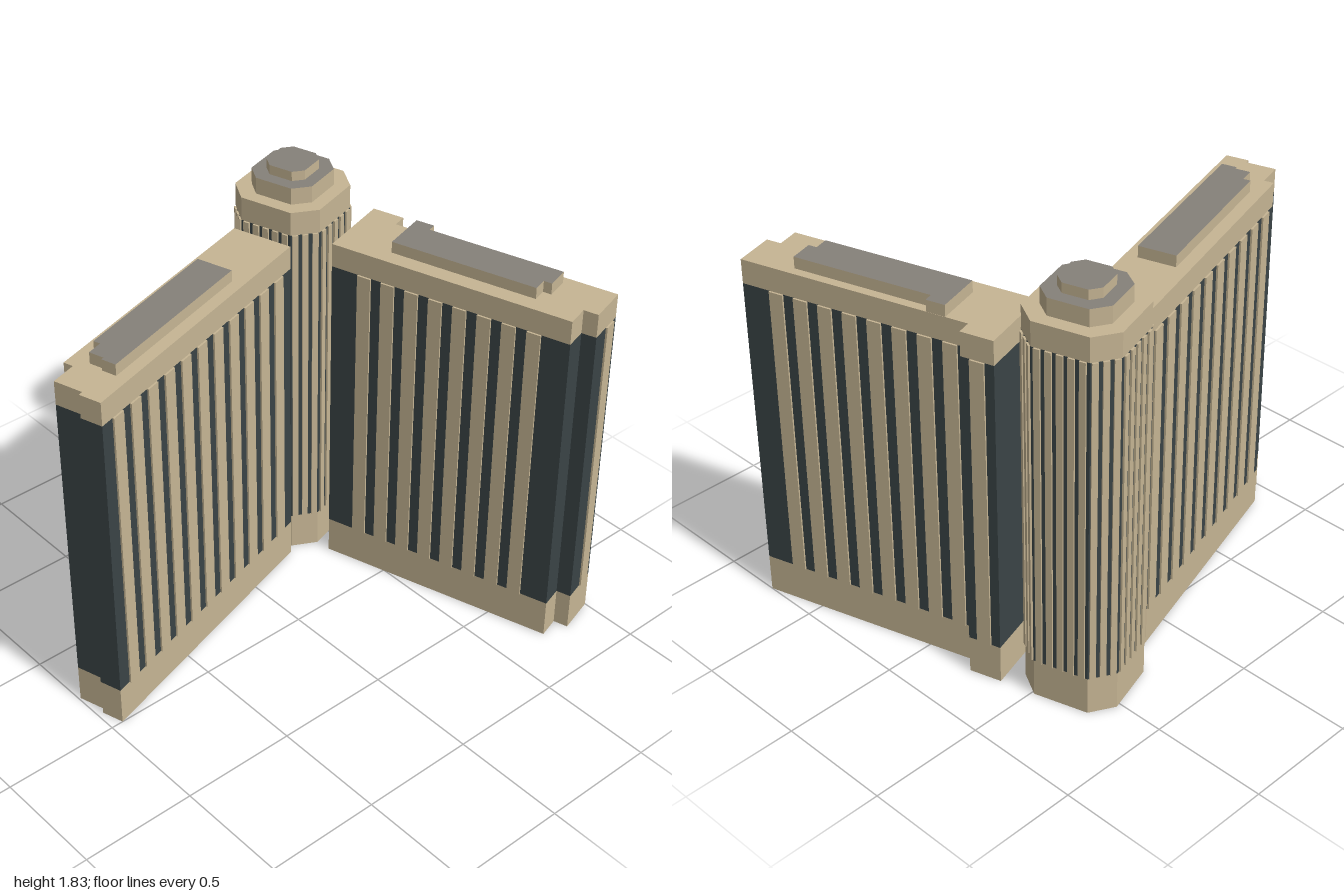
import * as THREE from 'three';

const mat = (name, color) => {
  const m = new THREE.MeshStandardMaterial({ color });
  m.name = name;
  return m;
};

export function createModel() {
  const stone = mat('sandstone', 0xc6b594);
  const glass = mat('darkGlass', 0x3a4446);
  const grey = mat('roofGrey', 0x86817a);

  const model = new THREE.Group();
  model.name = 'towerBlock';
  model.rotation.y = 0.29; // the wings stand at a slight angle

  // Upright prism over a plan outline of [x, z] points
  const slab = (parent, name, plan, y0, y1, material) => {
    const shape = new THREE.Shape(plan.map(([x, z]) => new THREE.Vector2(x, z)));
    const geo = new THREE.ExtrudeGeometry(shape, { depth: y1 - y0, bevelEnabled: false });
    geo.rotateX(Math.PI / 2).translate(0, y1, 0);
    const mesh = new THREE.Mesh(geo, material);
    mesh.name = name;
    parent.add(mesh);
  };

  // Row of upright piers standing slightly proud of one wall of the plan
  const piers = (parent, plan, edge, count, pitch, width, y0, y1, shift = 0) => {
    const [ax, az] = plan[edge];
    const [bx, bz] = plan[(edge + 1) % plan.length];
    const len = Math.hypot(bx - ax, bz - az);
    const dx = (bx - ax) / len, dz = (bz - az) / len;
    const geo = new THREE.BoxGeometry(width, y1 - y0, 0.012);
    for (let i = 0; i < count; i++) {
      const d = len / 2 + shift + (i - (count - 1) / 2) * pitch;
      const pier = new THREE.Mesh(geo, stone);
      pier.name = 'pier';
      pier.position.set(ax + dx * d - dz * 0.002, (y0 + y1) / 2, az + dz * d + dx * 0.002);
      pier.rotation.y = Math.atan2(-dz, dx);
      parent.add(pier);
    }
  };

  const BASE = 0.17;

  // Long wing: plinth, glazed storeys, parapet, plant room, piers
  const wing = (name, plan, plant, rows) => {
    const g = new THREE.Group();
    g.name = name;
    slab(g, 'plinth', plan, 0, BASE, stone);
    slab(g, 'glazing', plan, BASE, 1.48, glass);
    slab(g, 'parapet', plan, 1.48, 1.585, stone);
    slab(g, 'plantRoom', plant, 1.585, 1.635, [grey, stone]);
    for (const [edge, count, shift] of rows) {
      piers(g, plan, edge, count, 0.109, 0.061, BASE, 1.48, shift);
    }
    model.add(g);
  };

  wing('backWing',
    [[-0.14, -0.476], [0.931, -0.476], [0.931, -0.573], [0.995, -0.573],
      [0.995, -0.746], [0, -0.746], [0, -0.807], [-0.14, -0.807]],
    [[0.096, -0.546], [0.74, -0.546], [0.74, -0.607], [0.776, -0.607],
      [0.776, -0.708], [0.177, -0.708], [0.177, -0.745], [0.096, -0.745]],
    [[0, 8, 0], [3, 1, 0.028], [4, 8, 0.038], [6, 1, 0]]);

  wing('frontWing',
    [[-0.541, 0.772], [-0.498, 0.772], [-0.498, 0.887], [-0.369, 0.887],
      [-0.369, 0.907], [-0.271, 0.907], [-0.271, -0.369], [-0.541, -0.369]],
    [[-0.486, 0.657], [-0.455, 0.657], [-0.455, 0.725], [-0.389, 0.725],
      [-0.389, 0.738], [-0.325, 0.738], [-0.325, -0.028], [-0.486, -0.028]],
    [[5, 11, 0], [7, 10, 0]]);

  // Corner tower: square plan with cut corners and a stepped crown
  const tower = new THREE.Group();
  tower.name = 'cornerTower';
  tower.position.set(-0.41, 0, -0.608);
  const octagon = (k) => {
    const h = 0.203 * k, s = 0.118 * k;
    return [[-s, h], [s, h], [h, s], [h, -s], [s, -h], [-s, -h], [-h, -s], [-h, s]];
  };
  const plan = octagon(1);
  slab(tower, 'plinth', plan, 0, BASE, stone);
  slab(tower, 'glazing', plan, BASE, 1.61, glass);
  slab(tower, 'parapet', plan, 1.61, 1.715, stone);
  slab(tower, 'lowerCrown', octagon(0.713), 1.715, 1.788, [grey, stone]);
  slab(tower, 'upperCrown', octagon(0.45), 1.788, 1.83, [grey, stone]);
  for (let e = 0; e < 8; e++) {
    if (e % 2 === 0) piers(tower, plan, e, 5, 0.046, 0.027, BASE, 1.61);
    else piers(tower, plan, e, 3, 0.042, 0.025, BASE, 1.61);
  }
  model.add(tower);

  const root = new THREE.Group();
  root.name = 'building';
  root.add(model);
  return root;
}
